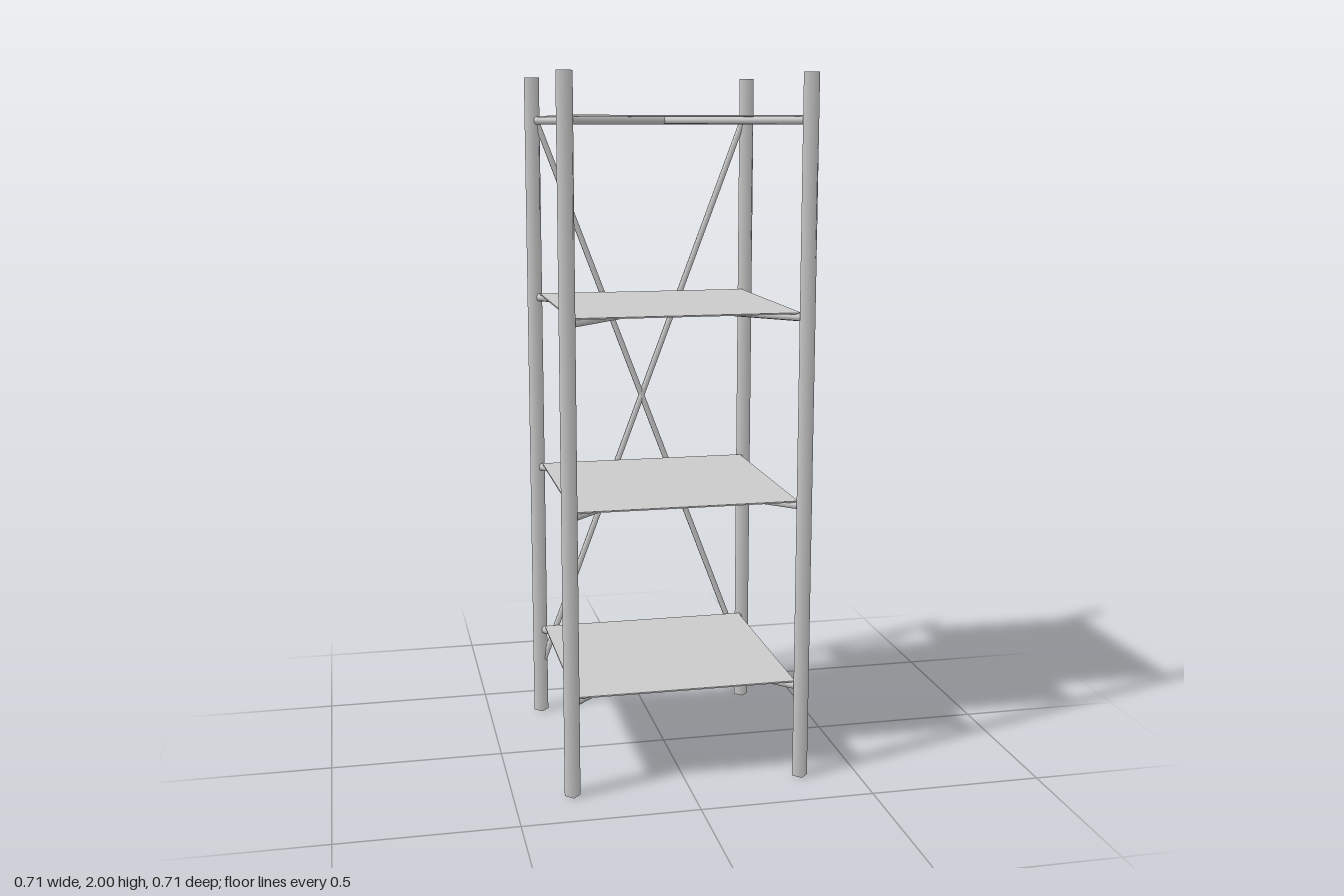
import * as THREE from 'three';

export function createModel() {
  const group = new THREE.Group();
  group.name = 'shelvingUnit';
  const grey = new THREE.MeshStandardMaterial({ color: 0xcccccc });
  const P = 0.334; // post centre offset in x and z

  // Straight rod between two points
  const rod = (name, a, b, radius, sides) => {
    const start = new THREE.Vector3(...a), end = new THREE.Vector3(...b);
    const dir = end.clone().sub(start);
    const mesh = new THREE.Mesh(new THREE.CylinderGeometry(radius, radius, dir.length(), sides), grey);
    mesh.name = name;
    mesh.position.copy(start).add(end).multiplyScalar(0.5);
    mesh.quaternion.setFromUnitVectors(new THREE.Vector3(0, 1, 0), dir.normalize());
    group.add(mesh);
  };

  // Four diamond-section corner posts
  for (const x of [-P, P])
    for (const z of [-P, P]) rod('cornerPost', [x, 0, z], [x, 2, z], 0.0225, 4);

  // Four thin shelves, each carried on two crossing diagonal bars
  for (let i = 0; i < 4; i++) {
    const y = 0.272 + i * 0.534;
    for (const s of [-1, 1]) rod('shelfSupport', [-P, y, -P * s], [P, y, P * s], 0.0125, 6);
    const shelf = new THREE.Mesh(new THREE.BoxGeometry(0.64, 0.004, 0.64), grey);
    shelf.name = 'shelf';
    shelf.position.y = y + 0.0105;
    group.add(shelf);
  }

  // Crossed bracing on the back
  for (const s of [-1, 1]) rod('backBrace', [-P * s, 0.14, -P], [P * s, 1.905, -P], 0.0095, 6);

  return group;
}
